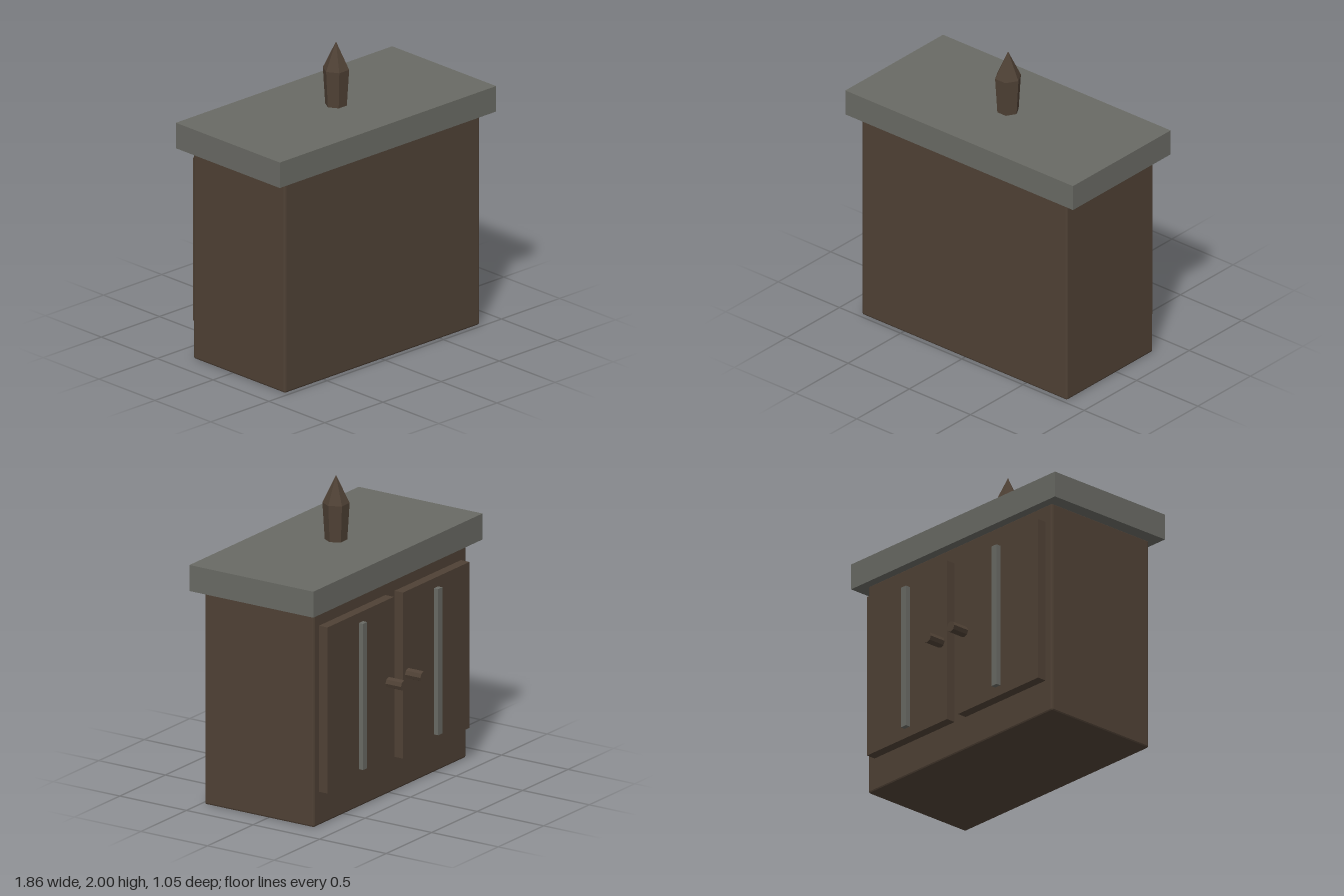
import * as THREE from 'three';
import { RoundedBoxGeometry } from 'three/addons/geometries/RoundedBoxGeometry.js';

export function createModel() {
  const model = new THREE.Group();
  model.name = 'cabinet';

  const wood = new THREE.MeshStandardMaterial({ color: 0x4f4135 });
  wood.name = 'dark wood';
  wood.flatShading = true;
  const stone = new THREE.MeshStandardMaterial({ color: 0x696a64 });
  stone.name = 'grey stone';
  stone.flatShading = true;

  function add(name, geometry, material, x, y, z, parent = model) {
    const mesh = new THREE.Mesh(geometry, material);
    mesh.name = name;
    mesh.position.set(x, y, z);
    parent.add(mesh);
    return mesh;
  }

  // Carcass with softly eased edges, and the overhanging slab
  add('body', new RoundedBoxGeometry(1.675, 1.42, 0.82, 1, 0.012), wood, 0, 0.71, 0.065);
  add('countertop', new THREE.BoxGeometry(1.86, 0.17, 0.93), stone, 0, 1.495, 0.06);

  // Pair of doors on the -z side, each with an upright strip and a round knob
  for (const side of [-1, 1]) {
    const door = new THREE.Group();
    door.name = side > 0 ? 'leftDoor' : 'rightDoor';
    model.add(door);
    add('doorPanel', new THREE.BoxGeometry(0.73, 1.085, 0.075), wood, side * 0.415, 0.763, -0.3715, door);
    add('doorStrip', new THREE.BoxGeometry(0.046, 0.955, 0.04), stone, side * 0.413, 0.763, -0.421, door);
    const knob = new THREE.CylinderGeometry(0.035, 0.035, 0.125, 8).rotateX(Math.PI / 2);
    add('doorKnob', knob, wood, side * 0.107, 0.763, -0.4625, door);
  }

  // Six-sided tapered finial with a pointed tip
  const finial = new THREE.Group();
  finial.name = 'finial';
  finial.position.z = 0.06;
  finial.rotation.y = Math.PI / 6;
  model.add(finial);
  add('finialShaft', new THREE.CylinderGeometry(0.085, 0.07, 0.24, 6, 1, true), wood, 0, 1.7, 0, finial);
  add('finialTip', new THREE.ConeGeometry(0.085, 0.18, 6, 1, true), wood, 0, 1.91, 0, finial);

  return model;
}
